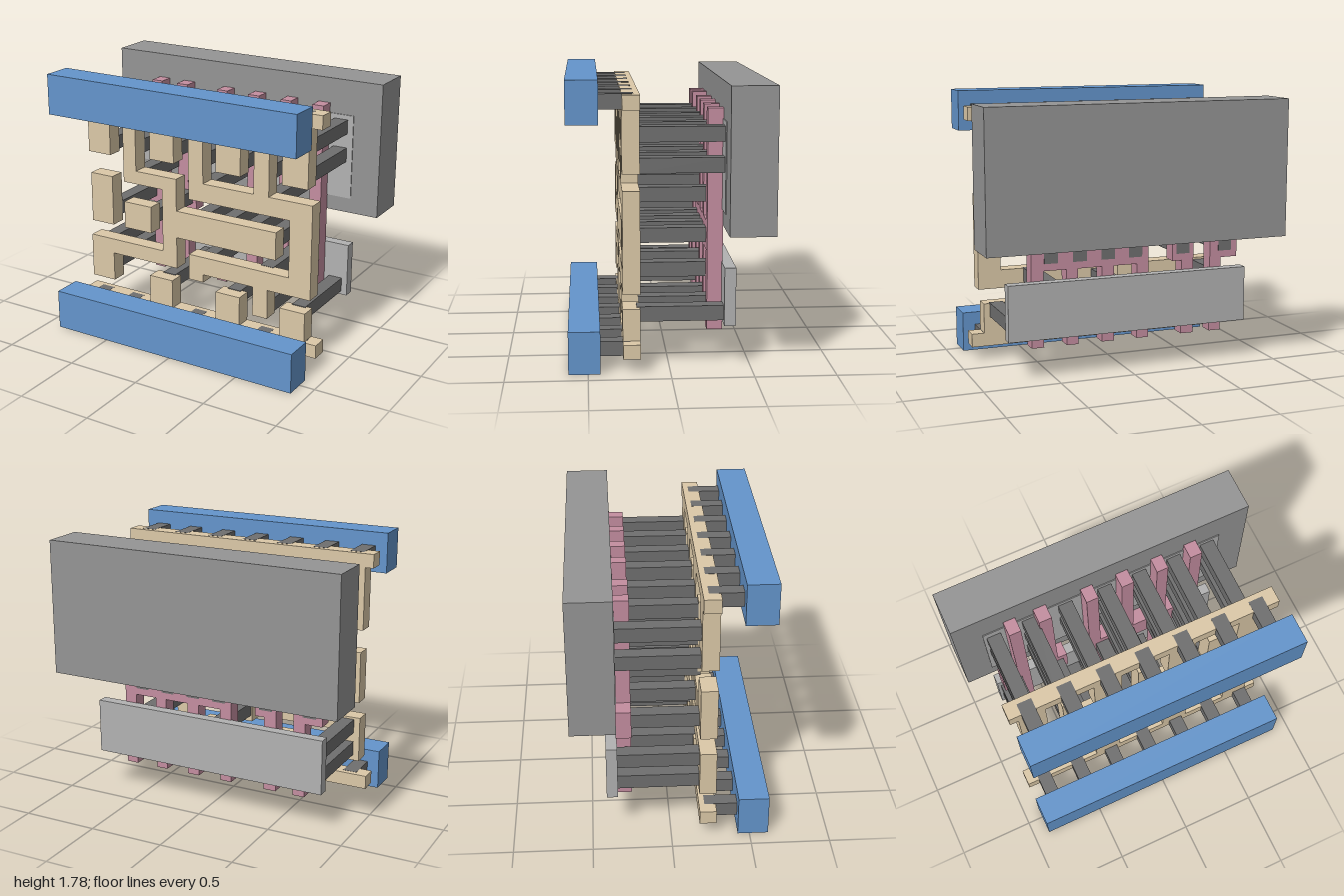
import * as THREE from 'three';

const mat = (color) => new THREE.MeshStandardMaterial({ color, roughness: 0.8 });

export function createModel() {
  const model = new THREE.Group();
  const blue = mat(0x6495cc), tan = mat(0xdcc9a8), pink = mat(0xc48ea0);
  const dark = mat(0x6f6f6f), wellGrey = mat(0x959595), lightGrey = mat(0xb2b2b2);

  const add = (name, geometry, material) => {
    const mesh = new THREE.Mesh(geometry, material);
    mesh.name = name;
    model.add(mesh);
  };
  // Box given by its limits on each axis
  const block = (name, material, x0, x1, y0, y1, z0, z1) => {
    const g = new THREE.BoxGeometry(x1 - x0, y1 - y0, z1 - z0);
    g.translate((x0 + x1) / 2, (y0 + y1) / 2, (z0 + z1) / 2);
    add(name, g, material);
  };
  // Flat outline in x and y, given thickness from z0 to z1
  const plate = (name, material, points, z0, z1) => {
    const shape = new THREE.Shape(points.map(([x, y]) => new THREE.Vector2(x, y)));
    const g = new THREE.ExtrudeGeometry(shape, { depth: z1 - z0, bevelEnabled: false });
    g.translate(0, 0, z0);
    add(name, g, material);
  };

  // Well and the two diffusion slabs at the back
  block('well', wellGrey, -1, 1, 0.86, 1.75, -0.62, -0.34);
  block('upperDiffusion', lightGrey, -0.82, 0.81, 0.96, 1.52, -0.4, -0.334);
  block('lowerDiffusion', lightGrey, -0.82, 0.81, 0.265, 0.628, -0.405, -0.334);

  // Power rails at the front
  block('lowerRail', blue, -0.895, 0.895, 0, 0.267, 0.425, 0.62);
  block('upperRail', blue, -0.895, 0.895, 1.515, 1.78, 0.425, 0.62);

  // Studs joining the rails to the metal layer
  for (let i = 0; i < 7; i++) {
    const x = -0.767 + i * 0.2555;
    for (const y of [0.135, 1.645])
      block('railStud', dark, x - 0.047, x + 0.047, y - 0.046, y + 0.046, 0.215, 0.43);
  }

  // Metal layer: combs along the rails, with teeth as [left, right, tip]
  const M0 = 0.18, M1 = 0.287;
  const comb = (name, outer, inner, teeth) => {
    const pts = [[-0.895, outer], [-0.895, inner]];
    for (const [a, b, tip] of teeth) pts.push([a, inner], [a, tip], [b, tip], [b, inner]);
    pts.push([0.895, inner], [0.895, outer]);
    plate(name, tan, pts, M0, M1);
  };
  comb('upperComb', 1.69, 1.6,
    [[-0.84, -0.665, 1.185], [-0.347, -0.163, 1.21], [0.155, 0.335, 1.21], [0.63, 0.81, 1.21]]);
  comb('lowerComb', 0.09, 0.18,
    [[-0.365, -0.185, 0.38], [0.155, 0.335, 0.38], [0.63, 0.81, 0.38]]);

  // Metal layer: the two branching tracks and two islands
  plate('leftTrack', tan, [
    [-0.84, 0.28], [-0.66, 0.28], [-0.66, 0.48], [-0.145, 0.48], [-0.145, 0.7], [0.595, 0.7],
    [0.595, 0.887], [-0.145, 0.887], [-0.145, 1.107], [-0.46, 1.107], [-0.46, 1.505],
    [-0.56, 1.505], [-0.56, 1.017], [-0.255, 1.017], [-0.255, 0.583], [-0.84, 0.583],
  ], M0, M1);
  plate('rightTrack', tan, [
    [-0.05, 0.425], [0.06, 0.425], [0.06, 0.48], [0.432, 0.48], [0.432, 0.28], [0.54, 0.28],
    [0.54, 0.48], [0.845, 0.48], [0.845, 1.113], [0.54, 1.113], [0.54, 1.505], [0.432, 1.505],
    [0.432, 1.113], [0.06, 1.113], [0.06, 1.505], [-0.05, 1.505], [-0.05, 0.988], [0.69, 0.988],
    [0.69, 0.603], [-0.05, 0.603],
  ], M0, M1);
  block('outerIsland', tan, -0.83, -0.655, 0.69, 1.035, M0, M1);
  block('innerIsland', tan, -0.56, -0.347, 0.69, 0.875, M0, M1);

  // Gates: upright bars crossing a contact pad
  const gate = (padLeft, padRight, bars) => {
    const pts = [[padLeft, 0.69]];
    for (const [a, b] of bars) pts.push([a, 0.69], [a, 0.195], [b, 0.195], [b, 0.69]);
    pts.push([padRight, 0.69], [padRight, 0.877]);
    for (const [a, b] of [...bars].reverse())
      pts.push([b, 0.877], [b, 1.585], [a, 1.585], [a, 0.877]);
    pts.push([padLeft, 0.877]);
    const clean = pts.filter((p, i) => {
      const q = pts[(i + 1) % pts.length];
      return p[0] !== q[0] || p[1] !== q[1];
    });
    plate('gate', pink, clean, -0.34, -0.243);
  };
  gate(-0.79, -0.595, [[-0.675, -0.595]]);
  gate(-0.475, -0.325, [[-0.475, -0.39]]);
  gate(-0.155, 0.64, [[-0.155, -0.075], [0.085, 0.167], [0.328, 0.405], [0.558, 0.64]]);

  // Studs from the metal layer to the gates, showing through at the back
  for (const x of [-0.702, -0.4, -0.065, 0.125, 0.315, 0.507])
    block('gateStud', dark, x - 0.046, x + 0.046, 0.735, 0.829, -0.342, 0.2);

  // Studs from the metal layer to the diffusion: column centre, then heights
  const columns = [
    [-0.752, 0.365, 0.522, 1.228, 1.418],
    [-0.512, 1.064 - 0.028, 1.255, 1.443],
    [-0.265, 0.337, 1.255, 1.443],
    [0.005, 0.515, 1.036, 1.255, 1.443],
    [0.245, 0.337, 1.255, 1.443],
    [0.487, 0.337, 0.558, 1.036, 1.255, 1.443],
    [0.723, 0.337, 1.255, 1.443],
  ];
  for (const [x, ...heights] of columns)
    for (const y of heights)
      block('diffusionStud', dark, x - 0.047, x + 0.047, y - 0.047, y + 0.047, -0.35, 0.2);

  return model;
}
